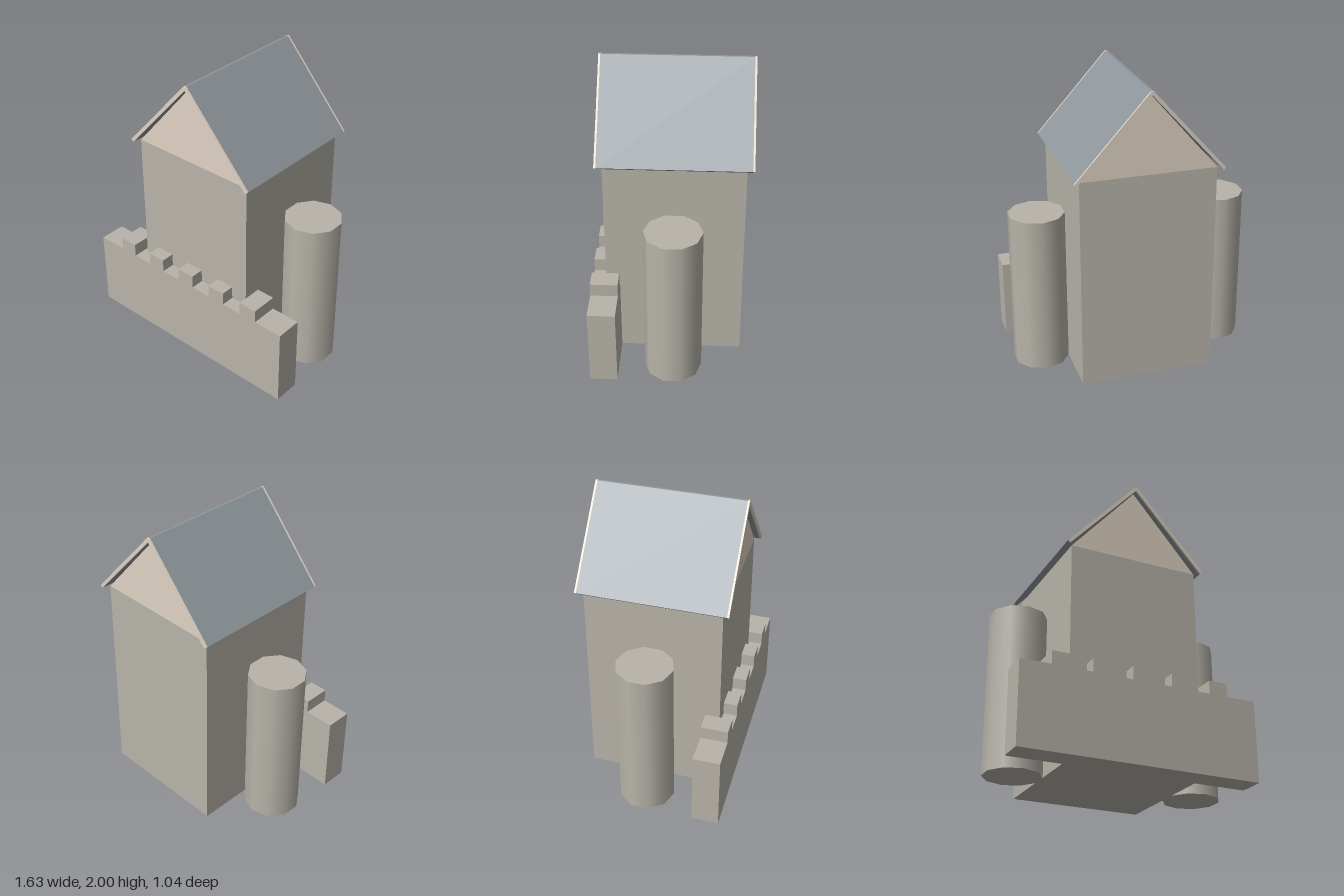
import * as THREE from 'three';

const stone = new THREE.MeshStandardMaterial({ color: 0xb8b4aa });
const plaster = new THREE.MeshStandardMaterial({ color: 0xdfd3c3 });
const slate = new THREE.MeshStandardMaterial({ color: 0x8f979c });

export function createModel() {
  const model = new THREE.Group();
  model.name = 'castle';

  const add = (name, geometry, material) => {
    const mesh = new THREE.Mesh(geometry, material);
    mesh.name = name;
    model.add(mesh);
    return mesh;
  };

  // Extrudes an outline in the x-y plane from z0 to z1
  const slab = (points, z0, z1) => {
    const shape = new THREE.Shape(points.map(([x, y]) => new THREE.Vector2(x, y)));
    return new THREE.ExtrudeGeometry(shape, { depth: z1 - z0, bevelEnabled: false }).translate(0, 0, z0);
  };

  // Keep with its gabled attic
  add('keep', new THREE.BoxGeometry(0.905, 1.45, 0.905).translate(0, 0.725, -0.0225), stone);
  add('gable', slab([[-0.4525, 1.45], [0.4525, 1.45], [0, 1.972]], -0.475, 0.43), plaster);

  // Thin pitched roof, finished with a pale board at each end
  const roofOutline = [
    [-0.495, 1.458], [-0.479, 1.443], [0, 1.975], [0.479, 1.443],
    [0.495, 1.458], [0.008, 2], [-0.008, 2],
  ];
  add('roof', slab(roofOutline, -0.508, 0.462), slate);
  add('frontBargeboard', slab(roofOutline, 0.462, 0.475), plaster);
  add('backBargeboard', slab(roofOutline, -0.521, -0.508), plaster);

  // Ten-sided side towers
  for (const side of [-1, 1]) {
    const tower = add(side > 0 ? 'leftTower' : 'rightTower',
      new THREE.CylinderGeometry(0.19, 0.19, 1.09, 10), stone);
    tower.position.set(side * 0.632, 0.545, -0.024);
  }

  // Crenellated front wall, as one outline
  const top = 0.545, merlonTop = 0.635, half = 0.064;
  const wall = [[-0.813, 0], [0.813, 0], [0.813, top]];
  for (let i = 2; i >= -2; i--) {
    const x = i * 0.272;
    wall.push([x + half, top], [x + half, merlonTop], [x - half, merlonTop], [x - half, top]);
  }
  wall.push([-0.813, top]);
  add('frontWall', slab(wall, 0.34, 0.522), stone);

  return model;
}
